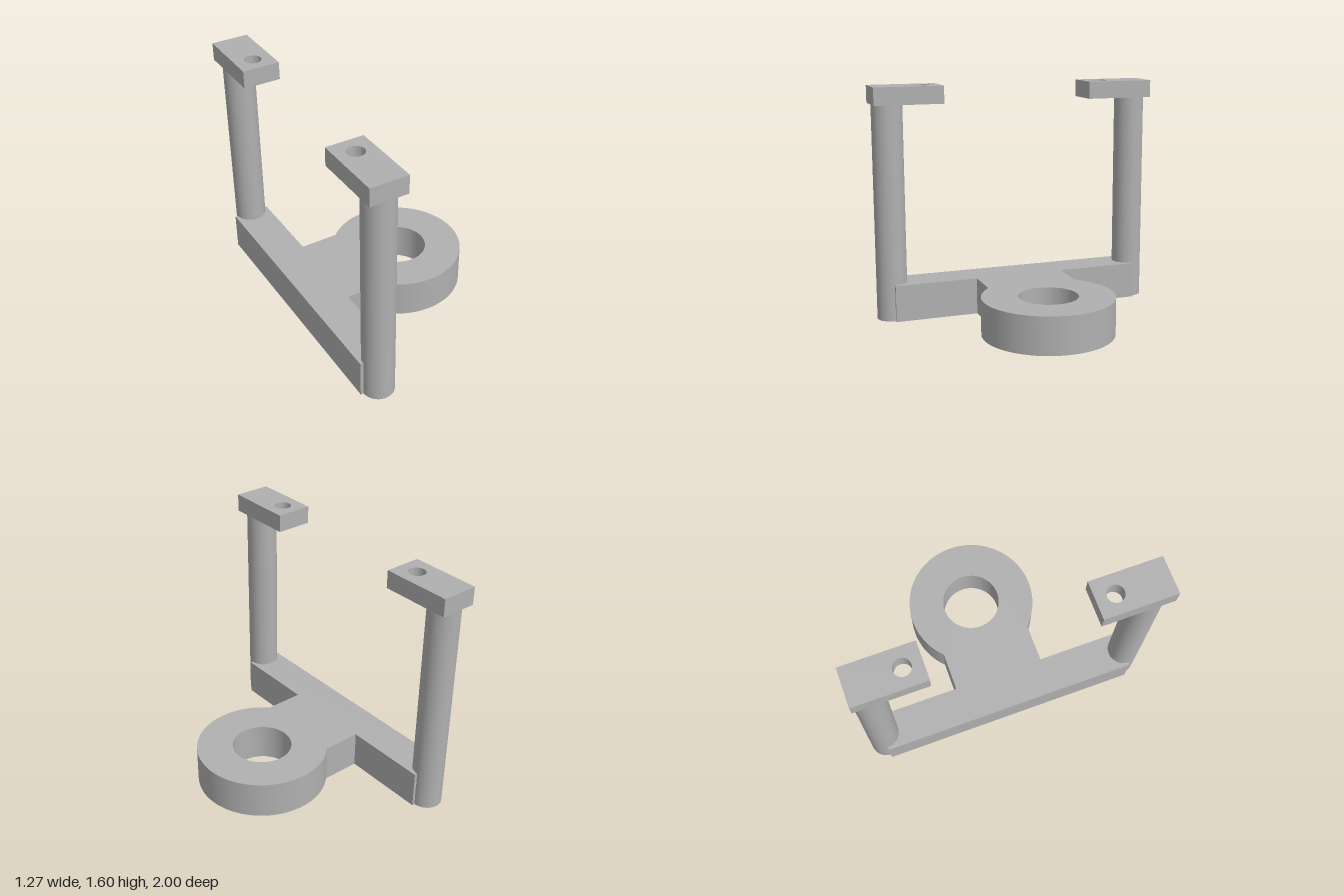
import * as THREE from 'three';
import { toCreasedNormals } from 'three/addons/utils/BufferGeometryUtils.js';

const BAR_X = -0.51;      // centre line of bar, posts and tabs
const BAR_HALF = 0.125;   // half width of bar and tabs
const POST_Z = 0.89;
const POST_R = 0.105;
const BASE_H = 0.255;
const TAB_Y = 1.48;
const TAB_H = 0.12;

// Extrude a plan outline upwards, drawn as x and -z
function slab(shape, height) {
  const geometry = new THREE.ExtrudeGeometry(shape, { depth: height, bevelEnabled: false, curveSegments: 64 });
  geometry.rotateX(-Math.PI / 2);
  return toCreasedNormals(geometry, Math.PI / 6);
}

function roundHole(x, y, radius) {
  return new THREE.Path().absarc(x, y, radius, 0, Math.PI * 2, true);
}

export function createModel() {
  const model = new THREE.Group();
  model.name = 'ringBracket';
  const grey = new THREE.MeshStandardMaterial({ color: 0xb0b0b0 });
  grey.name = 'plain grey';

  const add = (name, geometry, x = 0, y = 0, z = 0) => {
    const mesh = new THREE.Mesh(geometry, grey);
    mesh.name = name;
    mesh.position.set(x, y, z);
    model.add(mesh);
  };

  // Base: crossbar, neck and ring in one outline
  const ringX = 0.19, ringR = 0.443, neck = 0.315;
  const left = BAR_X - BAR_HALF, right = BAR_X + BAR_HALF;
  const meet = Math.PI - Math.asin(neck / ringR);
  const base = new THREE.Shape();
  base.moveTo(left, POST_Z);
  base.lineTo(left, -POST_Z);
  base.lineTo(right, -POST_Z);
  base.lineTo(right, -neck);
  base.absarc(ringX, 0, ringR, -meet, meet, false);
  base.lineTo(right, neck);
  base.lineTo(right, POST_Z);
  base.closePath();
  base.holes.push(roundHole(ringX, 0, 0.2));
  add('base', slab(base, BASE_H));

  // Posts with drilled tabs pointing inwards
  for (const [side, s] of [['front', 1], ['back', -1]]) {
    add(side + 'Post', new THREE.CylinderGeometry(POST_R, POST_R, TAB_Y, 64), BAR_X, TAB_Y / 2, s * POST_Z);

    const half = 0.2375;
    const tab = new THREE.Shape();
    tab.moveTo(-BAR_HALF, -half);
    tab.lineTo(BAR_HALF, -half);
    tab.lineTo(BAR_HALF, half);
    tab.lineTo(-BAR_HALF, half);
    tab.closePath();
    tab.holes.push(roundHole(0, s * 0.1125, 0.056));
    add(side + 'Tab', slab(tab, TAB_H), BAR_X, TAB_Y, s * (1 - half));
  }
  return model;
}
